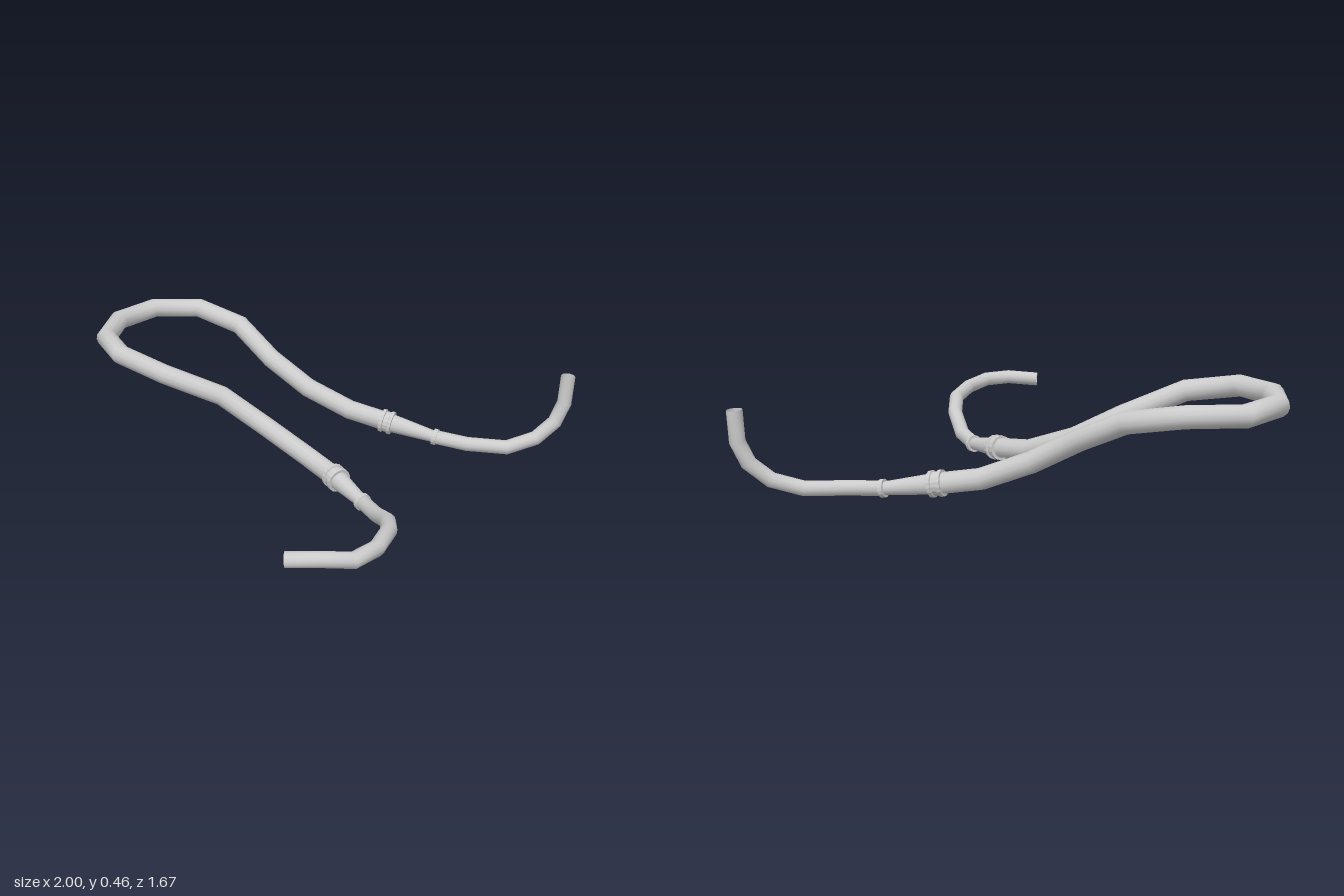
import * as THREE from 'three';

const V = (p) => new THREE.Vector3(...p);
const SIDES = 12;

// Constant-radius hose along a polyline, with mitred joints
function hose(coords, radius) {
  const path = coords.map(V);
  const dirs = path.slice(1).map((p, i) => p.clone().sub(path[i]).normalize());
  const u = new THREE.Vector3(0, 1, 0).cross(dirs[0]);
  if (u.length() < 0.1) u.set(1, 0, 0).cross(dirs[0]);
  u.normalize();
  const v = dirs[0].clone().cross(u);
  let ring = [];
  for (let j = 0; j < SIDES; j++) {
    const a = (j / SIDES) * Math.PI * 2;
    ring.push(path[0].clone().addScaledVector(u, radius * Math.cos(a)).addScaledVector(v, radius * Math.sin(a)));
  }
  const pos = [], index = [];
  path.forEach((p, i) => {
    if (i > 0) {
      // slide the ring along its segment onto the joint plane
      const d = dirs[i - 1];
      const n = d.clone().add(dirs[i] ?? d).normalize();
      ring = ring.map((q) => q.clone().addScaledVector(d, p.clone().sub(q).dot(n) / d.dot(n)));
      for (let j = 0; j < SIDES; j++) {
        const k = (j + 1) % SIDES, a = (i - 1) * SIDES, b = i * SIDES;
        index.push(a + j, a + k, b + j, a + k, b + k, b + j);
      }
    }
    ring.forEach((q) => pos.push(q.x, q.y, q.z));
  });
  const geo = new THREE.BufferGeometry();
  geo.setAttribute('position', new THREE.Float32BufferAttribute(pos, 3));
  geo.setIndex(index);
  geo.computeVertexNormals();
  return geo;
}

export function createModel() {
  const model = new THREE.Group();
  const mat = new THREE.MeshStandardMaterial({ color: 0xcccccc, side: THREE.DoubleSide });
  const add = (name, geo, parent = model) => {
    const mesh = new THREE.Mesh(geo, mat);
    mesh.name = name;
    parent.add(mesh);
    return mesh;
  };

  // Joints where the wide hose narrows
  const backWide = [0.25, 0.08, -0.605], backThin = [0.465, 0.045, -0.62];
  const frontWide = [0.25, 0.085, -0.03], frontThin = [0.405, 0.065, 0.075];

  // Wide hose: looping from the back joint round to the front joint
  add('wideHose', hose([
    backWide, [0.08, 0.11, -0.592], [-0.11, 0.185, -0.575], [-0.295, 0.285, -0.59],
    [-0.49, 0.38, -0.675], [-0.705, 0.42, -0.695], [-0.89, 0.42, -0.61],
    [-0.957, 0.42, -0.41], [-0.9, 0.42, -0.21], [-0.75, 0.418, -0.08],
    [-0.535, 0.38, -0.055], [-0.315, 0.285, -0.148], [-0.125, 0.185, -0.155],
    [0.08, 0.11, -0.115], frontWide,
  ], 0.041));

  // Narrow end hoses, open at the tips
  add('backEndHose', hose([
    backThin, [0.605, 0.036, -0.63], [0.765, 0.031, -0.68], [0.87, 0.07, -0.74],
    [0.935, 0.14, -0.785], [0.962, 0.225, -0.81], [0.966, 0.345, -0.813],
  ], 0.03));
  add('frontEndHose', hose([
    frontThin, [0.5, 0.08, 0.17], [0.59, 0.14, 0.295], [0.64, 0.18, 0.42],
    [0.654, 0.197, 0.58], [0.62, 0.212, 0.71], [0.53, 0.22, 0.76], [0.405, 0.21, 0.8],
  ], 0.03));

  // Tapered adapters with a double-rimmed collar and a small clamp ring
  const lathe = (pts) => {
    // split every edge so the rims stay crisp
    const geo = new THREE.LatheGeometry(pts.map((p) => new THREE.Vector2(...p)), 16).toNonIndexed();
    geo.computeVertexNormals();
    return geo;
  };
  const adapter = (name, from, to) => {
    const a = V(from), axis = V(to).sub(a), len = axis.length();
    const group = new THREE.Group();
    group.name = name;
    group.position.copy(a);
    group.quaternion.setFromUnitVectors(new THREE.Vector3(0, 1, 0), axis.normalize());
    add('taper', new THREE.CylinderGeometry(0.025, 0.041, len, 16, 1, true), group).position.y = len / 2;
    add('collar', lathe([
      [0.038, -0.026], [0.05, -0.026], [0.051, -0.012], [0.045, -0.01],
      [0.045, 0.01], [0.051, 0.012], [0.05, 0.026], [0.036, 0.026],
    ]), group);
    add('clampRing', lathe([
      [0.022, -0.009], [0.035, -0.009], [0.035, 0.009], [0.022, 0.009],
    ]), group).position.y = len;
    model.add(group);
  };
  adapter('backAdapter', backWide, backThin);
  adapter('frontAdapter', frontWide, frontThin);

  return model;
}
